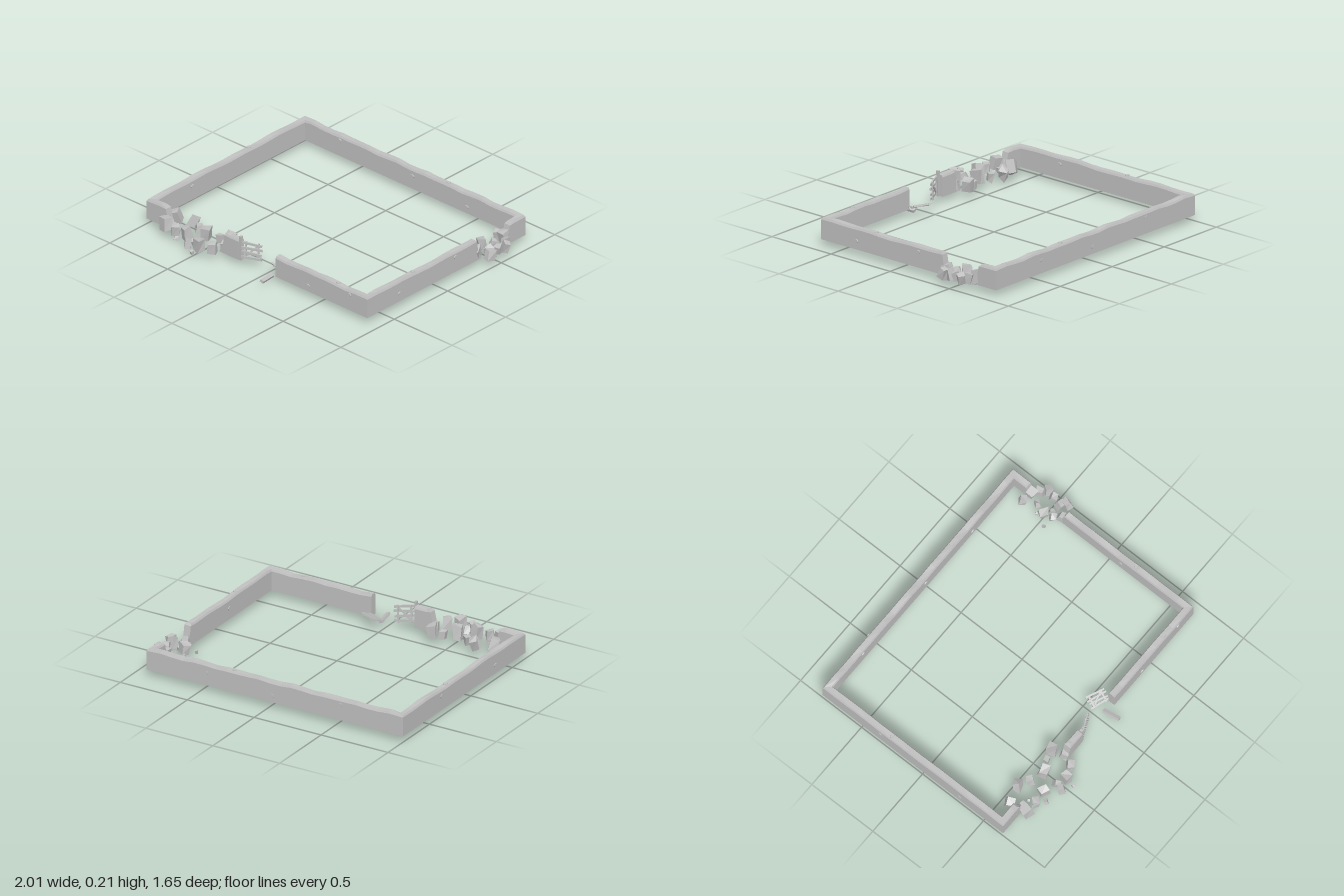
import * as THREE from 'three';

const stone = new THREE.MeshStandardMaterial({ color: 0xc0c0c0, flatShading: true });
stone.name = 'grey stone';

const BASE = 0.043, HALF = 0.024;

let seed = 7;
const rand = () => (seed = (seed * 16807) % 2147483647) / 2147483647;
const jit = (a) => (rand() - 0.5) * 2 * a;

function add(parent, geometry, name, x = 0, y = 0, z = 0) {
  const m = new THREE.Mesh(geometry, stone);
  m.name = name;
  m.position.set(x, y, z);
  parent.add(m);
  return m;
}

// Wall swept along a mitred path; slope values lean the broken ends back
function wallGeometry(path, slopeStart, slopeEnd) {
  // offset across the wall, height, share of the break slope, share of the top wave
  const section = [
    [-HALF, BASE, 0, 0], [-HALF, 0.095, 0.5, 0], [-HALF, 0.174, 0.8, 0.9], [-HALF + 0.007, 0.187, 1, 1],
    [HALF - 0.007, 0.187, 1, 1], [HALF, 0.174, 0.8, 0.9], [HALF, 0.095, 0.5, 0], [HALF, BASE, 0, 0],
  ];
  const pts = path.map(([x, z]) => new THREE.Vector2(x, z));
  const dirs = pts.slice(1).map((p, i) => p.clone().sub(pts[i]).normalize());
  const side = (d) => new THREE.Vector2(-d.y, d.x);
  const stations = [];
  dirs.forEach((d, i) => {
    const len = pts[i].distanceTo(pts[i + 1]);
    const n = Math.max(1, Math.floor(len / 0.08));
    for (let k = i ? 1 : 0; k <= n; k++) {
      const p = pts[i].clone().lerp(pts[i + 1], k / n);
      let across = side(d);
      if (k === n && dirs[i + 1]) {
        const next = side(dirs[i + 1]);
        const dot = across.dot(next);
        across = across.add(next).divideScalar(1 + dot);
      }
      stations.push({ p, d, across, lean: 0 });
    }
  });
  stations[0].lean = slopeStart;
  stations[stations.length - 1].lean = -slopeEnd;

  const pos = [], index = [], N = section.length;
  for (const s of stations) {
    section.forEach(([u, y, slope, wave], j) => {
      const phase = (s.p.x + s.p.y) * 17 + (s.p.x - s.p.y) * 9;
      const h = y + wave * (0.003 * Math.sin(phase) + 0.003 * Math.sin(phase * 2.3 + (j > 3 ? 1 : 0)));
      pos.push(s.p.x + s.across.x * u + s.d.x * s.lean * slope, h, s.p.y + s.across.y * u + s.d.y * s.lean * slope);
    });
  }
  const last = (stations.length - 1) * N;
  for (let i = 0; i < last; i += N) {
    for (let j = 0; j < N; j++) {
      const k = (j + 1) % N;
      index.push(i + j, i + k, i + N + k, i + j, i + N + k, i + N + j);
    }
  }
  // end caps, strip by strip
  for (let j = 0; j < N / 2 - 1; j++) {
    const a = j, b = j + 1, c = N - 2 - j, d = N - 1 - j;
    index.push(a, c, b, a, d, c);
    index.push(last + a, last + b, last + c, last + a, last + c, last + d);
  }
  const g = new THREE.BufferGeometry();
  g.setAttribute('position', new THREE.Float32BufferAttribute(pos, 3));
  g.setIndex(index);
  const flat = g.toNonIndexed();
  flat.computeVertexNormals();
  return flat;
}

// Irregular block: a box with its eight corners nudged
function rubbleGeometry(w, h, d) {
  const g = new THREE.BoxGeometry(w, h, d);
  const p = g.attributes.position, moved = {};
  for (let i = 0; i < p.count; i++) {
    const key = [p.getX(i), p.getY(i), p.getZ(i)].map(Math.sign).join();
    const o = (moved[key] ??= [jit(w * 0.13), jit(h * 0.13), jit(d * 0.13)]);
    p.setXYZ(i, p.getX(i) + o[0], p.getY(i) + o[1], p.getZ(i) + o[2]);
  }
  g.computeVertexNormals();
  return g;
}

// Rubble heap from [x, z, size]
function rubble(list, name) {
  const group = new THREE.Group();
  group.name = name;
  for (const [x, z, s] of list) {
    const h = s * 1.15;
    const m = add(group, rubbleGeometry(s * 0.85, h, s * 0.75), 'rubbleBlock', x, BASE + h * 0.55, z);
    m.rotation.set(jit(0.35), jit(1.5), jit(0.35));
  }
  return group;
}

// Slatted gate leaf, hinged at its lower left corner
function gateLeaf(name, height) {
  const leaf = new THREE.Group();
  leaf.name = name;
  for (const x of [0.025, 0.11]) {
    add(leaf, new THREE.BoxGeometry(0.012, height, 0.008), 'gateUpright', x, height / 2, -0.007);
  }
  for (let i = 0; i < 4; i++) {
    const slat = add(leaf, new THREE.BoxGeometry(0.14 - 0.008 * (i % 2), height * 0.13, 0.008), 'gateSlat',
      0.068, height * (0.1 + 0.27 * i), 0);
    slat.rotation.z = [0.04, -0.06, 0.03, -0.04][i];
  }
  const brace = add(leaf, new THREE.BoxGeometry(0.12, 0.01, 0.006), 'gateBrace', 0.068, height / 2, -0.006);
  brace.rotation.z = Math.atan2(height * 0.8, 0.085);
  brace.scale.x = 0.9;
  return leaf;
}

export function createModel() {
  const model = new THREE.Group();
  model.name = 'ruinedEnclosure';

  // Three stretches of wall, with two breaches and a gateway between them
  const L = -0.975, R = 0.89, B = -0.796, F = 0.635;
  add(model, wallGeometry([[-0.78, F], [L, F], [L, B], [R, B], [R, -0.63]], 0.065, 0.055), 'longWall');
  add(model, wallGeometry([[R, -0.405], [R, F], [0.12, F]], 0.05, 0), 'cornerWall');
  add(model, wallGeometry([[-0.37, F], [-0.2, F]], 0.06, 0), 'gateWall');

  // Raised stones: [x, y, z, facing axis]
  const raised = [
    [0.27, 0.187, B, 'y'], [L, 0.187, -0.27, 'y'], [R, 0.187, 0.21, 'y'], [0.64, 0.187, F, 'y'],
    [0.40, 0.085, F + HALF, 'z'], [0.76, 0.155, F + HALF, 'z'],
    [-0.65, 0.155, B + HALF, 'z'], [-0.02, 0.135, B + HALF, 'z'], [0.45, 0.09, B + HALF, 'z'],
    [-0.53, 0.15, B - HALF, 'z'], [-0.02, 0.09, B - HALF, 'z'], [0.47, 0.13, B - HALF, 'z'],
    [R + HALF, 0.10, 0.36, 'x'], [R + HALF, 0.15, -0.165, 'x'], [R - HALF, 0.12, 0.1, 'x'],
    [L + HALF, 0.14, 0.28, 'x'], [L - HALF, 0.10, 0.3, 'x'], [L - HALF, 0.14, -0.35, 'x'],
  ];
  for (const [x, y, z, axis] of raised) {
    const g = new THREE.CylinderGeometry(0.015, 0.018, 0.012, 8);
    g.scale(1, 1, 0.8);
    if (axis === 'z') g.rotateX(Math.PI / 2);
    if (axis === 'x') g.rotateX(Math.PI / 2).rotateY(Math.PI / 2);
    add(model, g, 'raisedStone', x, y, z);
  }

  // Fallen blocks
  model.add(rubble([
    [-0.82, 0.57, 0.075], [-0.84, 0.625, 0.06], [-0.80, 0.69, 0.08], [-0.70, 0.535, 0.065],
    [-0.62, 0.575, 0.05], [-0.715, 0.695, 0.058], [-0.625, 0.685, 0.075], [-0.525, 0.61, 0.08],
    [-0.37, 0.555, 0.07], [-0.445, 0.565, 0.045], [-0.385, 0.71, 0.06], [-0.53, 0.715, 0.045],
    [-0.545, 0.765, 0.05], [-0.465, 0.745, 0.07], [-0.47, 0.805, 0.023], [-0.665, 0.74, 0.028],
    [-0.73, 0.645, 0.022], [-0.775, 0.635, 0.035], [-0.345, 0.63, 0.055],
  ], 'frontRubble'));
  model.add(rubble([
    [0.82, -0.66, 0.055], [0.885, -0.645, 0.07], [0.93, -0.61, 0.055], [0.97, -0.575, 0.055],
    [0.86, -0.575, 0.04], [0.955, -0.52, 0.055], [0.83, -0.50, 0.065], [0.945, -0.455, 0.065],
    [0.97, -0.425, 0.058], [0.77, -0.45, 0.022], [0.81, -0.54, 0.02], [0.885, -0.47, 0.027],
    [0.885, -0.39, 0.06], [0.85, -0.44, 0.045],
  ], 'sideRubble'));

  // Gate post, hanging leaf, fallen leaf and loose plank
  add(model, new THREE.BoxGeometry(0.016, 0.172, 0.02), 'gatePost', -0.193, BASE + 0.086, 0.645);
  const hanging = gateLeaf('hangingLeaf', 0.125);
  hanging.position.set(-0.187, 0.06, 0.65);
  hanging.rotation.set(0, 0.43, -0.05, 'YXZ');
  model.add(hanging);

  const fallen = gateLeaf('fallenLeaf', 0.09);
  fallen.position.set(0.0, 0.058, 0.57);
  fallen.rotation.set(-Math.PI / 2 + 0.35, -0.36, 0, 'YXZ');
  model.add(fallen);

  const plank = add(model, new THREE.BoxGeometry(0.026, 0.018, 0.12), 'loosePlank', 0.065, 0.02, 0.68);
  plank.rotation.set(-0.06, 0.14, -0.4, 'YXZ');

  return model;
}
